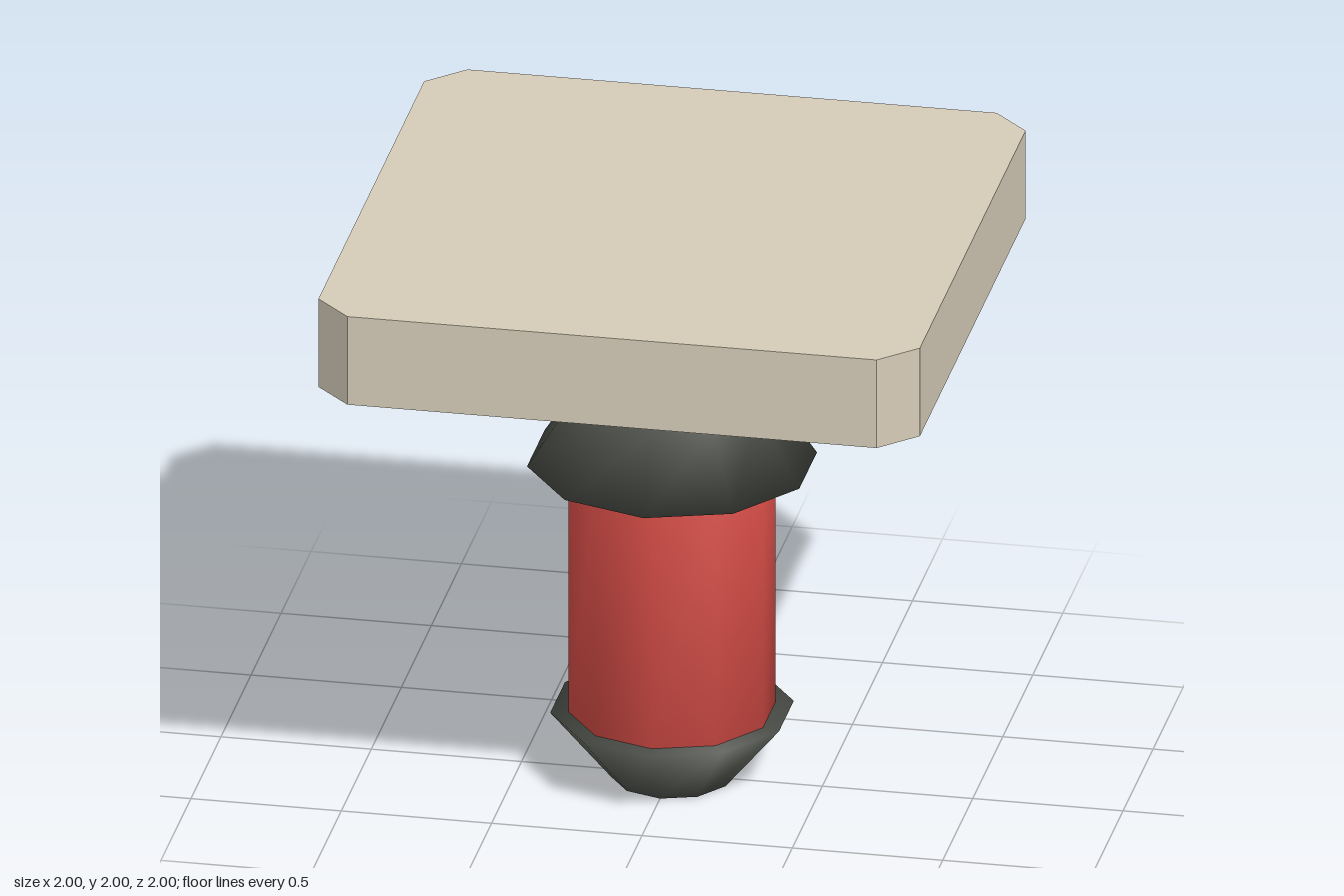
import * as THREE from 'three';
import { mergeVertices } from 'three/addons/utils/BufferGeometryUtils.js';

const RED = 0xd04a44, DARK = 0x4a4d47, BEIGE = 0xd5cbb8;

function addMesh(group, name, geometry, color, flatShading = false) {
  const mesh = new THREE.Mesh(geometry, new THREE.MeshStandardMaterial({ color, flatShading }));
  mesh.name = name;
  group.add(mesh);
}

// Low-poly drum between two heights, with normals blended over the rims
function drum(y0, y1, rBottom, rTop, sides, turn = 0) {
  let g = new THREE.CylinderGeometry(rTop, rBottom, y1 - y0, sides, 1, false, turn);
  g.deleteAttribute('normal');
  g.deleteAttribute('uv');
  g = mergeVertices(g, 1e-4);
  g.computeVertexNormals();
  g.translate(0, (y0 + y1) / 2, 0);
  return g;
}

// Square slab with cut corners
function slab(y0, y1, half, cut) {
  const a = half, b = half - cut;
  const outline = [[b, -a], [a, -b], [a, b], [b, a], [-b, a], [-a, b], [-a, -b], [-b, -a]];
  const shape = new THREE.Shape(outline.map(([x, y]) => new THREE.Vector2(x, y)));
  const g = new THREE.ExtrudeGeometry(shape, { depth: y1 - y0, bevelEnabled: false });
  g.rotateX(-Math.PI / 2);
  g.translate(0, y0, 0);
  return g;
}

export function createModel() {
  const model = new THREE.Group();
  model.name = 'plungerPost';
  addMesh(model, 'foot', drum(0, 0.24, 0.2, 0.4, 10), DARK);
  addMesh(model, 'barrel', drum(0.24, 1.125, 0.34, 0.34, 10), RED);
  addMesh(model, 'collar', drum(1.125, 1.365, 0.476, 0.318, 10), DARK);
  addMesh(model, 'neck', drum(1.365, 1.685, 0.24, 0.24, 8, Math.PI / 8), DARK);
  addMesh(model, 'topPlate', slab(1.685, 2, 1, 0.12), BEIGE, true);
  return model;
}
